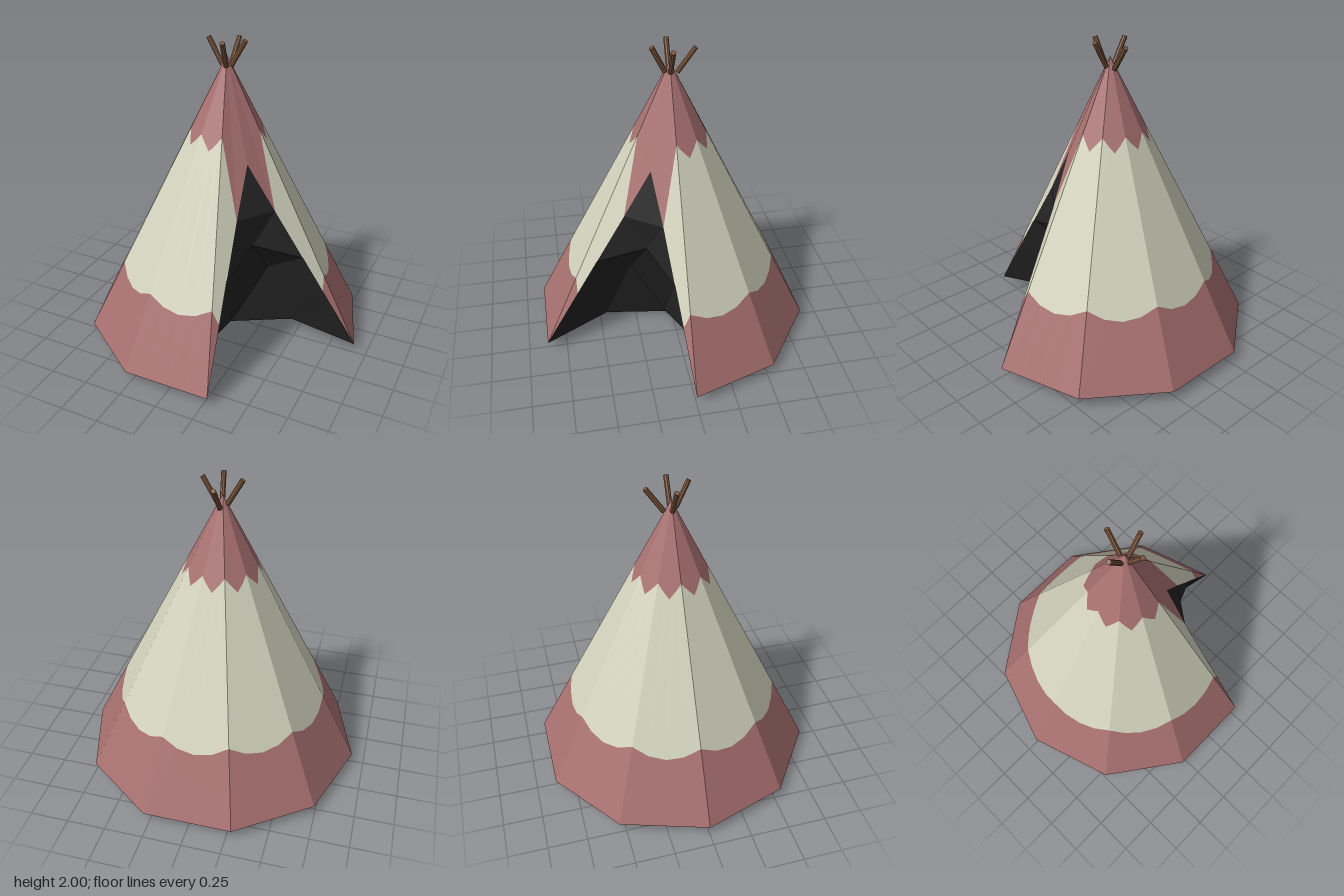
import * as THREE from 'three';

const RED = 0xa87070, CREAM = 0xd3d3be, BLACK = 0x242424, WOOD = 0x80593f;
const R = 0.92, BASE = 0.065, TOP = 1.89, STEPS = 4;
const v = (x, y, z) => new THREE.Vector3(x, y, z);
const mix = (a, b, t) => a.clone().lerp(b, t);
const polar = (r, y, deg) => v(r * Math.cos(deg * Math.PI / 180), y, r * Math.sin(deg * Math.PI / 180));
const apex = v(0, TOP, 0);

// Corner k of the ten-sided rim; corner 1 is left out for the doorway
const rim = k => polar(R, BASE, k * 36);
// Point at height y on the straight line from a rim point to the apex
const atHeight = (p, y) => mix(p, apex, (y - BASE) / (TOP - BASE));

// Flat-shaded cloth from a list of triangles
function sheet(name, color, tris) {
  const solid = tris.filter(([a, b, c]) => a !== b && b !== c && a !== c);
  const geo = new THREE.BufferGeometry().setFromPoints(solid.flat());
  geo.computeVertexNormals();
  const mat = new THREE.MeshStandardMaterial({ color, flatShading: true, side: THREE.DoubleSide });
  const mesh = new THREE.Mesh(geo, mat);
  mesh.name = name;
  return mesh;
}

// Triangles between a lower and an upper line of points
function strip(low, high) {
  const tris = [];
  for (let i = 0; i < low.length - 1; i++) {
    tris.push([low[i], high[i], low[i + 1]], [high[i], high[i + 1], low[i + 1]]);
  }
  return tris;
}

const fan = (centre, line) => line.slice(1).map((p, i) => [centre, line[i], p]);
const flip = tris => tris.map(([a, b, c]) => [a, c, b]);

export function createModel() {
  const group = new THREE.Group();
  group.name = 'tent';

  // Eight full wall panels, split into three colour zones
  const foot = [], band = [], zigzag = [];
  for (let i = 0; i <= 8 * STEPS; i++) {
    const k = 2 + Math.floor(i / STEPS), s = (i % STEPS) / STEPS;
    const p = mix(rim(k), rim(k + 1), s);
    foot.push(p);
    band.push(atHeight(p, TOP - (TOP - BASE) * 0.685 / Math.hypot(p.x, p.z)));
    zigzag.push(atHeight(p, 1.45 - 0.085 * (1 - Math.abs(2 * s - 1))));
  }
  group.add(sheet('wallHem', RED, strip(foot, band)));
  group.add(sheet('wallCloth', CREAM, strip(band, zigzag)));
  group.add(sheet('wallCrown', RED, strip(zigzag, foot.map(() => apex))));

  // Points of each half of the doorway, mirrored about the 36 degree plane
  const peak = v(0.21, 1.28, 0.155), fold = polar(0.34, 0.755, 36), middle = v(0.05, 0, 0.04);
  const [right, left] = [1, -1].map(s => {
    const near = polar(R, BASE, 36 + 36 * s), far = polar(R, BASE, 36 - 36 * s);
    const shoulder = atHeight(mix(near, far, 0.25), 0.98);
    const edge = y => mix(shoulder, near, (0.98 - y) / (0.98 - BASE));
    return { near, shoulder, edge, high: atHeight(near, 1.45), low: atHeight(near, 0.53),
      upper: polar(0.3, 0.5, 36 + 34 * s), lower: polar(0.545, 0.3, 36 + 37 * s),
      back: polar(0.456, 0.05, 36 + 49 * s) };
  });

  // Front panel around the doorway, and the dark pocket behind it
  const pocket = [[peak, right.shoulder, left.shoulder], [right.shoulder, fold, left.shoulder]];
  for (const [side, h] of [['right', right], ['left', left]]) {
    const face = tris => side === 'right' ? tris : flip(tris);
    const hem = h.edge(0.44), e2 = h.edge(0.67), e3 = h.edge(0.37);
    group.add(sheet(side + 'FlapCrown', RED, face(fan(apex, [h.high, h.shoulder, peak]))));
    group.add(sheet(side + 'FlapCloth', CREAM, face(fan(h.high, [h.low, hem, h.shoulder]))));
    group.add(sheet(side + 'FlapHem', RED, face([[h.low, h.near, hem]])));
    pocket.push(...face([
      ...fan(e2, [h.upper, fold, h.shoulder]),
      ...fan(e2, [e3, h.lower, h.upper]),
      ...fan(e3, [h.near, h.back, h.lower]),
      ...fan(h.upper, [h.lower, h.back, middle]),
      [fold, h.upper, middle],
    ]));
  }
  group.add(sheet('doorRecess', BLACK, pocket));

  // Groundsheet: raised ring dropping to one low point, with a jagged red patch
  const ring = (p, t, y) => mix(middle, p, t).setY(y);
  const patch = [], outer = [];
  for (let k = 2; k <= 10; k++) {
    const p = rim(k), m = mix(p, rim(k + 1), 0.5);
    if (k > 2 && k < 10) {
      patch.push(ring(p, 0.52, 0.16));
      outer.push(p);
    }
    // Notch between two star points
    if (k > 2 && k < 9) {
      patch.push(ring(m, 0.47, 0.145));
      outer.push(m);
    }
  }
  // The sheet follows the foot of the pocket at both ends
  const first = mix(middle, right.back, 0.75), last = mix(middle, left.back, 0.75);
  const star = [first, ...patch, last];
  const start = mix(right.near, rim(3), 0.5), end = mix(rim(9), left.near, 0.5);
  group.add(sheet('floorPatch', RED, fan(middle, star)));
  group.add(sheet('floorCloth', CREAM, strip(
    [right.back, right.back, ...star, left.back],
    [right.near, start, start, ...outer, end, left.near])));

  // Four pole ends spreading above the crown
  const poles = [
    [v(-0.03, 1.83, 0), v(-0.12, 1.99, 0)],
    [v(0.03, 1.83, 0), v(0.12, 1.99, 0)],
    [v(0.01, 1.83, 0.03), v(0.022, 1.99, 0.11)],
    [v(0.005, 1.82, -0.045), v(0.015, 1.97, -0.15)],
  ];
  const wood = new THREE.MeshStandardMaterial({ color: WOOD, flatShading: true });
  for (const [from, to] of poles) {
    const dir = to.clone().sub(from);
    const pole = new THREE.Mesh(new THREE.CylinderGeometry(0.016, 0.016, dir.length(), 8), wood);
    pole.position.copy(mix(from, to, 0.5));
    pole.quaternion.setFromUnitVectors(v(0, 1, 0), dir.normalize());
    pole.name = 'pole';
    group.add(pole);
  }
  return group;
}
